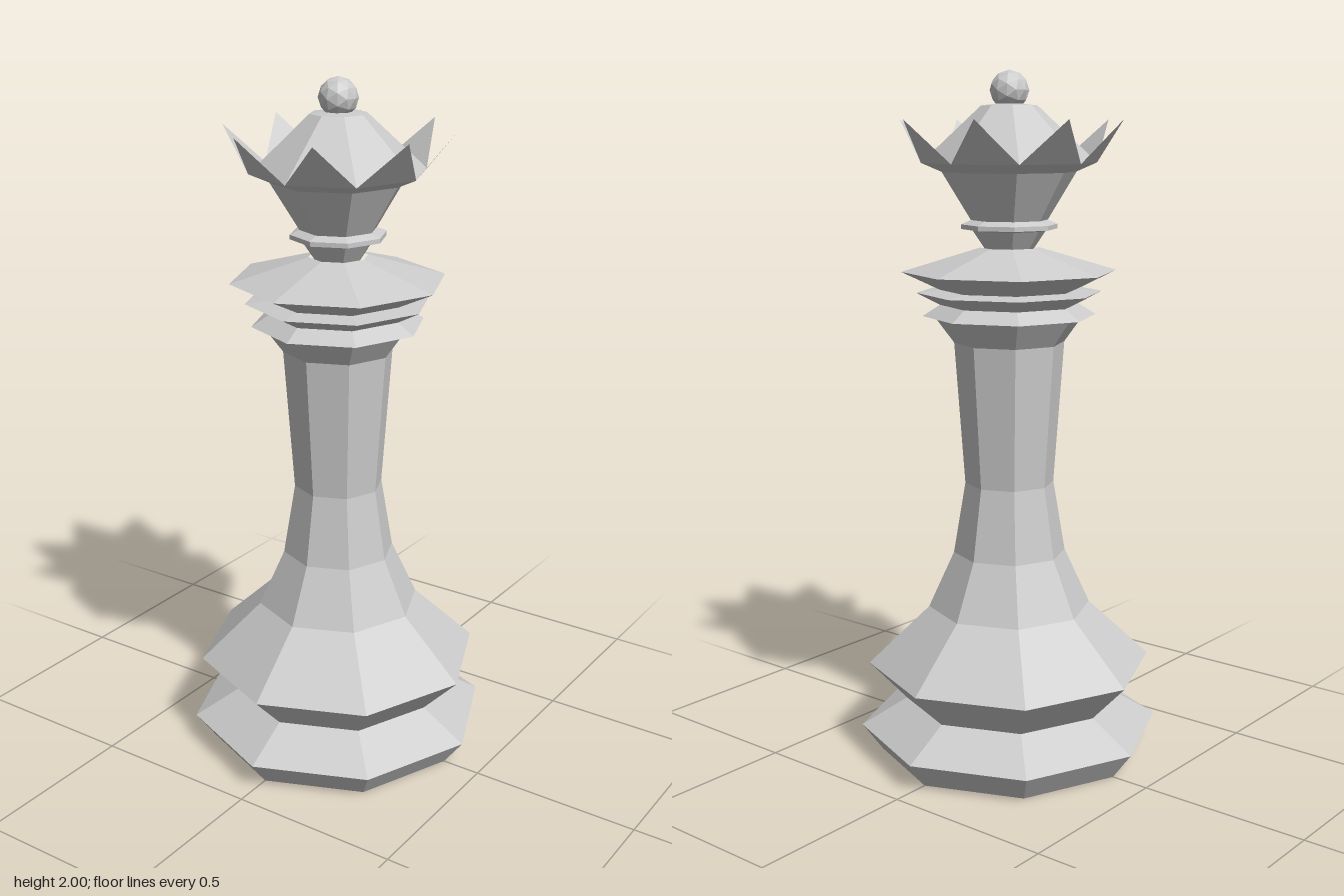
import * as THREE from 'three';

const SIDES = 8;
const material = new THREE.MeshStandardMaterial({ color: 0xcccccc, flatShading: true });
const sheet = new THREE.MeshStandardMaterial({ color: 0xcccccc, flatShading: true, side: THREE.DoubleSide });

// Eight-sided turned part from [radius, height] pairs, listed bottom to top
function turned(name, profile) {
  const points = profile.map(([r, y]) => new THREE.Vector2(r, y));
  const mesh = new THREE.Mesh(new THREE.LatheGeometry(points, SIDES), material);
  mesh.name = name;
  return mesh;
}

// Ring of pointed leaves that lean out from the crown rim
function crownPoints(rimRadius, rimY, tipRadius, tipY) {
  const at = (r, y, a) => [r * Math.sin(a), y, r * Math.cos(a)];
  const step = (Math.PI * 2) / SIDES;
  const positions = [];
  for (let i = 0; i < SIDES; i++) {
    positions.push(
      ...at(rimRadius, rimY, i * step),
      ...at(rimRadius, rimY, (i + 1) * step),
      ...at(tipRadius, tipY, (i + 0.5) * step)
    );
  }
  const geometry = new THREE.BufferGeometry();
  geometry.setAttribute('position', new THREE.Float32BufferAttribute(positions, 3));
  geometry.computeVertexNormals();
  const mesh = new THREE.Mesh(geometry, sheet);
  mesh.name = 'crownPoints';
  return mesh;
}

export function createModel() {
  const model = new THREE.Group();
  model.name = 'chessQueen';

  // Stepped foot
  model.add(turned('base', [
    [0, 0], [0.385, 0], [0.445, 0.08], [0.31, 0.16], [0.42, 0.275], [0.24, 0.445],
  ]));

  // Waisted shaft that flares under the collar
  model.add(turned('shaft', [
    [0.24, 0.445], [0.165, 0.61], [0.13, 0.82], [0.16, 1.235], [0.215, 1.31],
  ]));

  // Three stacked collar discs
  model.add(turned('collar', [
    [0.215, 1.31], [0.25, 1.313], [0.2, 1.345], [0.267, 1.38],
    [0.2, 1.388], [0.31, 1.44], [0.085, 1.507],
  ]));

  // Neck with a thin ring
  model.add(turned('neck', [
    [0.065, 1.495], [0.105, 1.555], [0.138, 1.56], [0.138, 1.573], [0.11, 1.585],
  ]));

  // Crown cup, its rim and the domed top
  model.add(turned('crown', [
    [0.11, 1.585], [0.192, 1.72], [0.25, 1.745], [0.08, 1.903], [0, 1.912],
  ]));
  model.add(crownPoints(0.25, 1.745, 0.328, 1.865));

  // Faceted ball on top
  const ball = new THREE.Mesh(new THREE.IcosahedronGeometry(0.056, 1), material);
  ball.name = 'finial';
  ball.position.y = 1.945;
  model.add(ball);

  return model;
}
